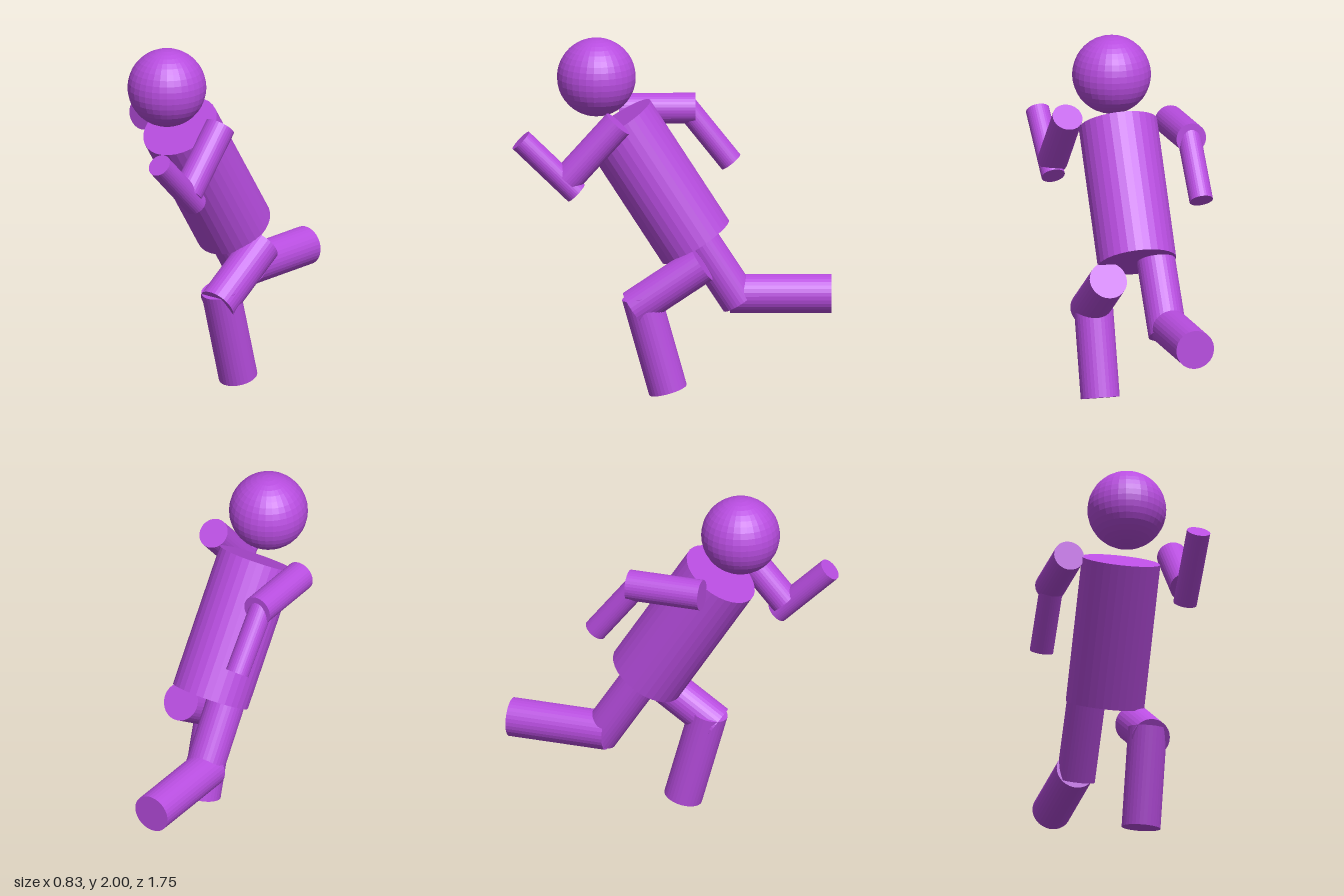
import * as THREE from 'three';

const material = new THREE.MeshStandardMaterial({ color: 0xb84de0, flatShading: true });
const UP = new THREE.Vector3(0, 1, 0);

// Closed cylinder running between two points
function limb(name, radius, from, to) {
  const a = new THREE.Vector3(...from);
  const b = new THREE.Vector3(...to);
  const axis = b.clone().sub(a);
  const mesh = new THREE.Mesh(
    new THREE.CylinderGeometry(radius, radius, axis.length(), 32),
    material
  );
  mesh.name = name;
  mesh.position.copy(a).add(b).multiplyScalar(0.5);
  mesh.quaternion.setFromUnitVectors(UP, axis.normalize());
  return mesh;
}

export function createModel() {
  const model = new THREE.Group();
  model.name = 'runningFigure';

  // Head
  const head = new THREE.Mesh(new THREE.SphereGeometry(0.22, 32, 20), material);
  head.name = 'head';
  head.position.set(0.01, 1.78, 0.43);

  model.add(
    head,
    // Torso leaning forward
    limb('torso', 0.22, [-0.018, 0.837, -0.123], [-0.002, 1.523, 0.315]),

    // Left arm swung forward
    limb('leftUpperArm', 0.085, [0.29, 1.583, 0.29], [0.315, 1.265, 0.573]),
    limb('leftForearm', 0.066, [0.323, 1.19, 0.52], [0.347, 1.493, 0.828]),

    // Right arm swung back
    limb('rightUpperArm', 0.086, [-0.298, 1.525, 0.325], [-0.332, 1.525, -0.1]),
    limb('rightForearm', 0.066, [-0.327, 1.557, -0.03], [-0.347, 1.217, -0.297]),

    // Left leg, planted
    limb('leftThigh', 0.107, [0.155, 0.753, -0.17], [0.185, 0.496, 0.21]),
    limb('leftShin', 0.109, [0.172, 0.573, 0.17], [0.161, 0.03, 0.02]),

    // Right leg, kicked back
    limb('rightThigh', 0.108, [-0.125, 0.86, -0.11], [-0.143, 0.472, -0.36]),
    limb('rightShin', 0.109, [-0.152, 0.51, -0.305], [-0.192, 0.51, -0.868])
  );
  return model;
}
